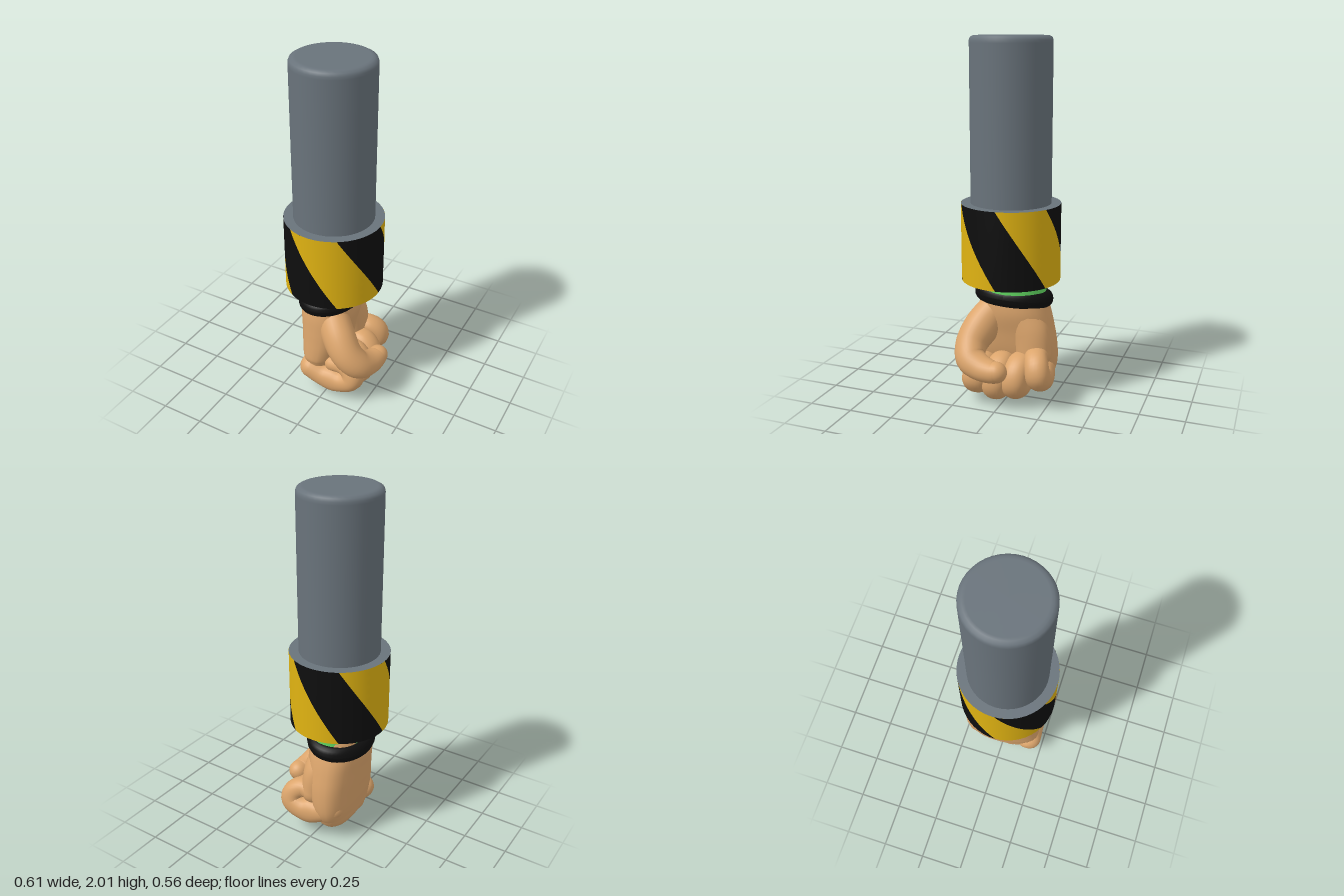
import * as THREE from 'three';

const mat = (name, color, side = THREE.FrontSide) => {
  const m = new THREE.MeshStandardMaterial({ color, side });
  m.name = name;
  return m;
};

export function createModel() {
  const model = new THREE.Group();
  const steel = mat('steel grey', 0x69737b);
  const yellow = mat('warning yellow', 0xe0b312, THREE.DoubleSide);
  const black = mat('black', 0x0e0e0e, THREE.DoubleSide);
  const green = mat('sleeve green', 0x62d962, THREE.DoubleSide);
  const skin = mat('skin', 0xdca56c);

  const add = (name, geometry, material, parent = model) => {
    const mesh = new THREE.Mesh(geometry, material);
    mesh.name = name;
    parent.add(mesh);
    return mesh;
  };

  // Rounded limb: stations are [x, y, z, side radius, depth radius].
  // "side" is the direction of the first radius, "power" below 1 squares the section.
  function limb(stations, side = [0, 0, 1], power = 1, steps = 28, sides = 28) {
    const path = new THREE.CatmullRomCurve3(stations.map(s => new THREE.Vector3(s[0], s[1], s[2])));
    const radii = new THREE.CatmullRomCurve3(stations.map(s => new THREE.Vector3(s[3], s[4], 0)));
    const ref = new THREE.Vector3(...side);
    const pos = [], index = [], cap = 7;
    const bend = v => Math.sign(v) * Math.abs(v) ** power;
    const rows = steps + 2 * cap;
    for (let i = 0; i <= rows; i++) {
      const t = Math.min(1, Math.max(0, (i - cap) / steps));
      // the first and last rows close the limb with a dome
      const over = i < cap ? i - cap : Math.max(0, i - cap - steps);
      const a = (over / cap) * Math.PI / 2;
      const shrink = Math.max(0.003, Math.cos(a));
      const T = path.getTangent(t), r = radii.getPoint(t);
      const S = ref.clone().addScaledVector(T, -ref.dot(T)).normalize();
      const N = T.clone().cross(S);
      const C = path.getPoint(t).addScaledVector(T, Math.sin(a) * Math.min(r.x, r.y));
      for (let j = 0; j < sides; j++) {
        const q = j / sides * Math.PI * 2;
        const p = C.clone()
          .addScaledVector(S, bend(Math.cos(q)) * r.x * shrink)
          .addScaledVector(N, bend(Math.sin(q)) * r.y * shrink);
        pos.push(p.x, p.y, p.z);
        if (i < rows) {
          const k = (j + 1) % sides, A = i * sides, B = A + sides;
          index.push(A + j, A + k, B + k, A + j, B + k, B + j);
        }
      }
    }
    const g = new THREE.BufferGeometry();
    g.setAttribute('position', new THREE.Float32BufferAttribute(pos, 3));
    g.setIndex(index);
    g.computeVertexNormals();
    return g;
  }

  // Piston: shaft with a bevelled top, and a hollow striped collar
  const piston = new THREE.Group();
  piston.name = 'piston';
  piston.position.set(-0.035, 0, 0.005);
  model.add(piston);
  const profile = [[0, 0.85], [0.222, 0.85], [0.222, 0.86], [0.222, 1.96], [0.222, 1.975],
    [0.216, 1.99], [0.2, 1.999], [0.185, 2], [0, 2]].map(p => new THREE.Vector2(...p));
  add('shaft', new THREE.LatheGeometry(profile, 40), steel, piston);

  const low = 0.68, high = 1.11, outer = 0.275, inner = 0.228, turn = Math.PI / 3;
  for (const [name, y, flip] of [['collarTop', high, -1], ['collarBottom', low, 1]]) {
    const rim = add(name, new THREE.RingGeometry(0.215, outer, 48), steel, piston);
    rim.rotation.x = flip * Math.PI / 2;
    rim.position.y = y;
  }
  // each stripe is a sixth of the wall, twisted by a sixth of a turn
  for (const [wall, radius] of [['Outer', outer], ['Inner', inner]]) {
    for (let i = 0; i < 6; i++) {
      const g = new THREE.CylinderGeometry(radius, radius, high - low, 8, 16, true, 0, turn);
      const p = g.attributes.position, n = g.attributes.normal;
      const start = THREE.MathUtils.degToRad(-28) + i * turn;
      for (let v = 0; v < p.count; v++) {
        const a = Math.atan2(p.getX(v), p.getZ(v)) + start - turn * (p.getY(v) / (high - low) + 0.5);
        p.setXYZ(v, radius * Math.sin(a), p.getY(v), radius * Math.cos(a));
        n.setXYZ(v, Math.sin(a), 0, Math.cos(a));
      }
      const stripe = add('stripe' + wall, g, i % 2 ? yellow : black, piston);
      stripe.position.y = (high + low) / 2;
    }
  }

  // Sleeve and wrist band
  const sleeve = add('sleeve', new THREE.CylinderGeometry(1, 1, 0.34, 40, 1, true), green);
  sleeve.scale.set(0.158, 1, 0.19);
  sleeve.position.set(-0.042, 0.74, -0.004);
  const bandShape = new THREE.TorusGeometry(0.19, 0.038, 16, 48).rotateX(Math.PI / 2);
  bandShape.scale(0.79, 1.2, 0.99);
  const bp = bandShape.attributes.position;
  for (let i = 0; i < bp.count; i++) bp.setY(i, bp.getY(i) + 0.11 * bp.getX(i) + 0.04 * bp.getZ(i));
  bandShape.computeVertexNormals();
  add('wristBand', bandShape, black).position.set(-0.057, 0.575, -0.005);

  // Fist
  const hand = new THREE.Group();
  hand.name = 'hand';
  model.add(hand);
  add('palm', limb([
    [-0.05, 0.60, -0.005, 0.18, 0.145],
    [-0.055, 0.50, -0.008, 0.205, 0.153],
    [-0.06, 0.40, -0.015, 0.222, 0.14],
    [-0.065, 0.30, -0.02, 0.235, 0.128],
    [-0.075, 0.20, -0.018, 0.238, 0.11],
    [-0.08, 0.13, -0.01, 0.215, 0.095],
  ], [0, 0, 1], 0.82), skin, hand);
  add('palmHeel', limb([
    [0.0, 0.48, -0.09, 0.09, 0.085], [0.01, 0.38, -0.13, 0.105, 0.085], [0.02, 0.26, -0.15, 0.1, 0.08],
  ]), skin, hand);

  // fingers: [name, z of knuckle, z of tip, height of knuckle, reach, tip height, width]
  const fingers = [
    ['indexFinger', 0.163, 0.13, 0.1, 0.165, 0.205, 0.078],
    ['middleFinger', 0.055, 0.015, 0.077, 0.165, 0.225, 0.072],
    ['ringFinger', -0.06, -0.095, 0.095, 0.16, 0.235, 0.072],
    ['littleFinger', -0.165, -0.185, 0.155, 0.145, 0.275, 0.069],
  ];
  for (const [name, z0, z1, y, reach, top, w] of fingers) {
    const lean = k => z0 + (z1 - z0) * k - (name === 'littleFinger' ? 0.04 * Math.sin(k * Math.PI) : 0);
    add(name, limb([
      [-0.1, y + 0.035, lean(0), w, 0.068],
      [-0.02, y + 0.002, lean(0.2), w, 0.07],
      [reach - 0.075, y - 0.005, lean(0.4), w, 0.07],
      [reach - 0.005, y + 0.03, lean(0.6), w, 0.068],
      [reach - 0.01, (y + top) / 2 + 0.025, lean(0.8), w * 0.97, 0.062],
      [reach - 0.06, top, lean(1), w * 0.92, 0.056],
      [0.03, top - 0.01, lean(1), w * 0.85, 0.05],
    ], [0, 0, 1], 0.92), skin, hand);
  }

  // thumb folded across the fingers
  add('thumb', limb([
    [-0.01, 0.50, 0.08, 0.1, 0.09],
    [0.065, 0.41, 0.14, 0.105, 0.095],
    [0.14, 0.325, 0.175, 0.09, 0.09],
    [0.2, 0.265, 0.155, 0.078, 0.085],
    [0.232, 0.232, 0.08, 0.066, 0.073],
    [0.243, 0.222, 0.01, 0.062, 0.062],
    [0.245, 0.225, -0.012, 0.06, 0.058],
  ], [0.5, 0.75, 0.45]), skin, hand);

  return model;
}
